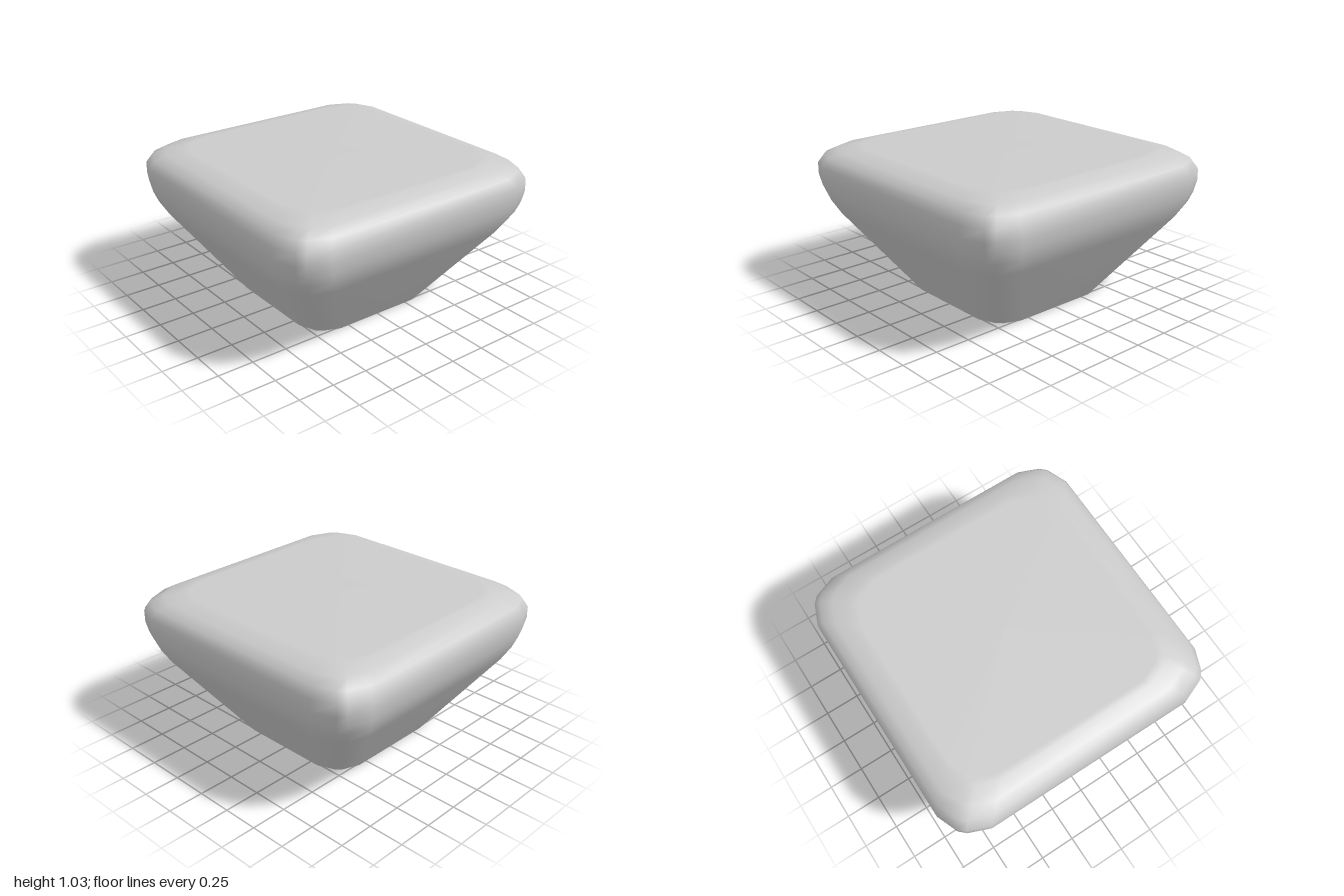
import * as THREE from 'three';

// Rounded-square ring of half-width h and corner size r, counterclockwise from above.
function ring(h, y, r) {
  const corner = [[0, 1], [0.24, 0.4], [0.42, 0.23], [1, 0]];
  const points = [];
  for (let q = 0; q < 4; q++) {
    for (const [a, b] of corner) {
      let x = h - a * r, z = -(h - b * r);
      for (let k = 0; k < q; k++) [x, z] = [z, -x];
      points.push([x, y, z]);
    }
  }
  return points;
}

function geometryFrom(points, index) {
  const g = new THREE.BufferGeometry();
  g.setAttribute('position', new THREE.Float32BufferAttribute(points.flat(), 3));
  g.setIndex(index);
  g.computeVertexNormals();
  return g;
}

export function createModel() {
  const group = new THREE.Group();
  group.name = 'taperedBlock';
  const material = new THREE.MeshStandardMaterial({ color: 0xcccccc });

  // Half-width, height and corner size, from the foot to the rim of the flat top
  const profile = [
    [0.515, 0, 0.2], [0.91, 0.57, 0.24], [0.96, 0.665, 0.245], [0.985, 0.735, 0.25],
    [1, 0.815, 0.25], [1, 0.895, 0.25], [0.965, 0.96, 0.25], [0.9, 1.0, 0.245],
    [0.81, 1.025, 0.24], [0.77, 1.027, 0.23],
  ];
  const rings = profile.map(([h, y, r]) => ring(h, y, r));
  const n = rings[0].length;

  // Smooth flared sides, rounded shoulder and flat top
  const points = rings.flat();
  const index = [];
  for (let j = 0; j < rings.length - 1; j++) {
    for (let i = 0; i < n; i++) {
      const a = j * n + i, b = j * n + (i + 1) % n;
      index.push(a, b, b + n, a, b + n, a + n);
    }
  }
  const top = (rings.length - 1) * n;
  points.push([0, 1.027, 0]);
  for (let i = 0; i < n; i++) index.push(top + i, top + (i + 1) % n, top + n);
  const body = new THREE.Mesh(geometryFrom(points, index), material);
  body.name = 'body';

  // Flat underside with a sharp edge
  const under = [];
  for (let i = 0; i < n; i++) under.push((i + 1) % n, i, n);
  const base = new THREE.Mesh(geometryFrom([...rings[0], [0, 0, 0]], under), material);
  base.name = 'base';

  group.add(body, base);
  return group;
}
